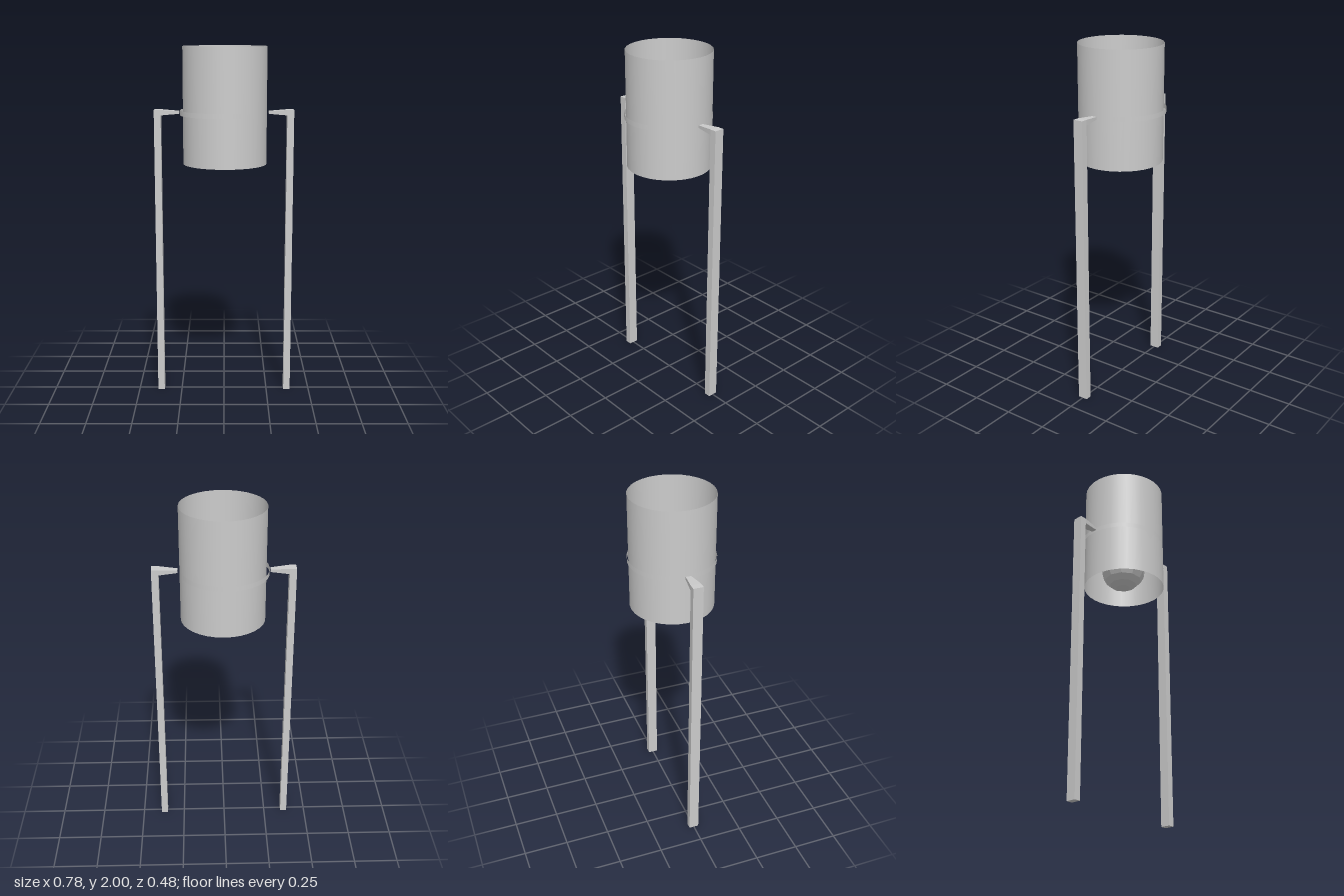
import * as THREE from 'three';

const grey = new THREE.MeshStandardMaterial({ color: 0xcccccc, flatShading: true });
const thin = new THREE.MeshStandardMaterial({ color: 0xcccccc, side: THREE.DoubleSide });

function add(parent, name, geometry, material, x, y, z) {
  const mesh = new THREE.Mesh(geometry, material);
  mesh.name = name;
  mesh.position.set(x, y, z);
  parent.add(mesh);
  return mesh;
}

// Open-ended sheet cylinder
const tube = (radius, height) => new THREE.CylinderGeometry(radius, radius, height, 32, 1, true);

// Box whose -x end shrinks towards its own axis
function taperedBar(length, height, depth, endHeight, endDepth) {
  const geometry = new THREE.BoxGeometry(length, height, depth);
  const p = geometry.attributes.position;
  for (let i = 0; i < p.count; i++) {
    if (p.getX(i) < 0) {
      p.setY(i, p.getY(i) * endHeight / height);
      p.setZ(i, p.getZ(i) * endDepth / depth);
    }
  }
  geometry.computeVertexNormals();
  return geometry;
}

// Upright post with a tapered arm reaching inwards
function createSupport(name) {
  const support = new THREE.Group();
  support.name = name;
  add(support, 'post', new THREE.BoxGeometry(0.038, 1.652, 0.056), grey, 0.371, 0.826, 0);
  add(support, 'arm', taperedBar(0.102, 0.03, 0.056, 0.015, 0.03), grey, 0.301, 1.637, 0);
  return support;
}

export function createModel() {
  const model = new THREE.Group();
  model.name = 'lantern';

  // Shade, open at both ends
  add(model, 'shade', tube(0.234, 0.65), thin, 0.005, 1.675, 0.005);

  // Band around the shade, slightly off centre
  add(model, 'band', tube(0.241, 0.027), thin, -0.005, 1.636, 0.001);

  // Faceted bulb inside the shade
  add(model, 'bulb', new THREE.SphereGeometry(0.132, 10, 10), grey, 0.002, 1.477, 0);

  // Mirrored pair of supports
  model.add(createSupport('leftSupport'));
  const right = createSupport('rightSupport');
  right.rotation.y = Math.PI;
  model.add(right);

  return model;
}
